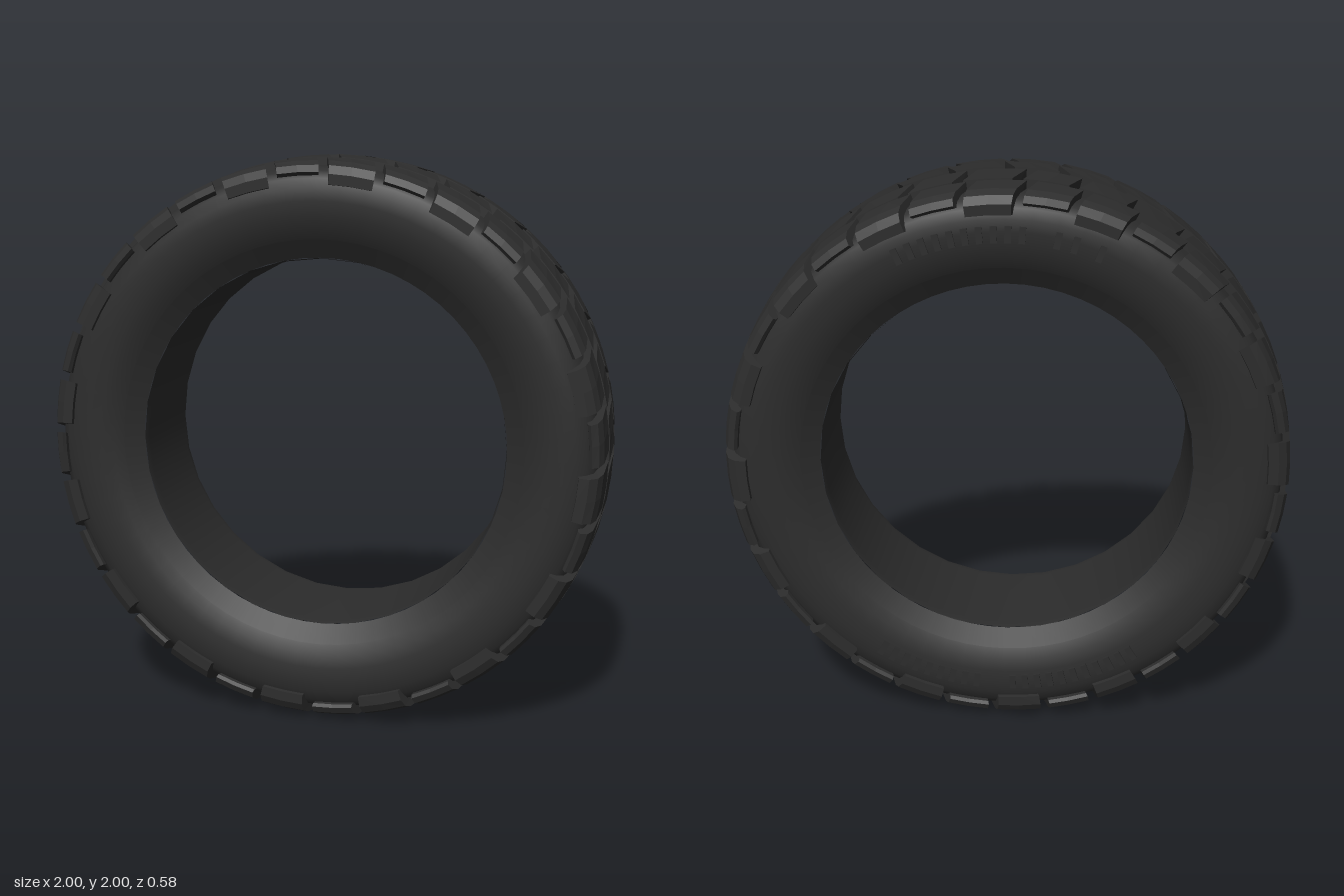
import * as THREE from 'three';
import { mergeGeometries } from 'three/addons/utils/BufferGeometryUtils.js';

const DEG = Math.PI / 180;
const COUNT = 32;              // tread blocks per row
const PITCH = 360 / COUNT;
const SKEW = 0.32;             // chevron lean, radians per unit of |z|

// Sweeps a [z, r] section around the z axis from angle a0 to a1 (degrees), leaning with |z|.
function sweptBlock(section, side, a0, a1, steps = 2) {
  let pts = section.map(([z, r]) => new THREE.Vector2(z * side, r));
  if (side < 0) pts = pts.reverse();
  const at = (p, a) => {
    const t = a * DEG - SKEW * (Math.abs(p.x) - 0.08);
    return [p.y * Math.cos(t), p.y * Math.sin(t), p.x];
  };
  const pos = [];
  for (let s = 0; s < steps; s++) {
    const b0 = a0 + (a1 - a0) * s / steps;
    const b1 = a0 + (a1 - a0) * (s + 1) / steps;
    pts.forEach((p, i) => {
      const q = pts[(i + 1) % pts.length];
      pos.push(...at(p, b0), ...at(q, b0), ...at(q, b1));
      pos.push(...at(p, b0), ...at(q, b1), ...at(p, b1));
    });
  }
  for (const [i, j, k] of THREE.ShapeUtils.triangulateShape(pts, [])) {
    pos.push(...at(pts[i], a1), ...at(pts[j], a1), ...at(pts[k], a1));
    pos.push(...at(pts[i], a0), ...at(pts[k], a0), ...at(pts[j], a0));
  }
  const geo = new THREE.BufferGeometry();
  geo.setAttribute('position', new THREE.Float32BufferAttribute(pos, 3));
  geo.computeVertexNormals();
  return geo;
}

// Revolves [r, z] points around the z axis.
function revolve(points, segments) {
  return new THREE.LatheGeometry(points.map(([r, z]) => new THREE.Vector2(r, z)), segments)
    .rotateX(Math.PI / 2);
}

export function createModel() {
  const model = new THREE.Group();
  model.name = 'tyre';
  const wheel = new THREE.Group();
  wheel.name = 'tyreBody';
  wheel.position.y = 1;
  model.add(wheel);

  const rubber = new THREE.MeshStandardMaterial({ color: 0x2c2c2c });
  rubber.name = 'blackRubber';
  const add = (name, geometry) => {
    const mesh = new THREE.Mesh(geometry, rubber);
    mesh.name = name;
    wheel.add(mesh);
  };

  // Carcass: rounded sidewalls and the groove floor under the tread
  const half = [[0.72, 0.25], [0.755, 0.269], [0.8, 0.28], [0.85, 0.284], [0.89, 0.28],
    [0.925, 0.268], [0.95, 0.248], [0.963, 0.21], [0.966, 0.1]];
  const carcass = [...half.map(([r, z]) => [r, -z]), ...half.slice().reverse()];
  add('carcass', revolve(carcass, 64));

  // Sloping beads and inner liner
  add('frontBead', revolve([[0.72, 0.25], [0.655, 0.21]], 64));
  add('backBead', revolve([[0.655, -0.21], [0.72, -0.25]], 64));
  add('innerLiner', revolve([[0.655, 0.21], [0.65, 0.18], [0.65, -0.18], [0.655, -0.21]], 32));

  // Tread block sections as [z, r]
  const centre = [[0.013, 0.94], [0.142, 0.94], [0.142, 0.994], [0.013, 1]];
  const shoulder = [[0.155, 0.94], [0.23, 0.93], [0.275, 0.935], [0.284, 0.945],
    [0.274, 0.968], [0.245, 0.983], [0.155, 0.992]];
  const lug = [[0.155, 0.94], [0.25, 0.9], [0.289, 0.905], [0.29, 0.94],
    [0.275, 0.968], [0.245, 0.983], [0.155, 0.992]];

  // Two rows on each side, every second shoulder block reaching down the sidewall
  for (const side of [1, -1]) {
    const centreRow = [], shoulderRow = [];
    const shift = side > 0 ? 0 : PITCH * 0.4;
    for (let i = 0; i < COUNT; i++) {
      const a = 86 + shift + i * PITCH;
      const long = i % 2 === 0;
      const w = long ? 4.75 : 4.4;
      centreRow.push(sweptBlock(centre, side, a - 3 - w, a - 3 + w));
      shoulderRow.push(sweptBlock(long ? lug : shoulder, side, a - w, a + w));
    }
    const label = side > 0 ? 'front' : 'back';
    add(label + 'CentreTread', mergeGeometries(centreRow));
    add(label + 'ShoulderTread', mergeGeometries(shoulderRow));
  }

  // Groups of raised ribs on the back sidewall: [first angle, last angle, number]
  const ribs = [];
  for (const [from, to, n] of [[65, 94, 10], [102, 106, 2], [112, 112, 1], [237, 268, 11], [277, 302, 9]]) {
    for (let i = 0; i < n; i++) {
      const a = from + (n > 1 ? (to - from) * i / (n - 1) : 0);
      ribs.push(new THREE.BoxGeometry(0.055, 0.022, 0.02)
        .translate(0.84, 0, -0.28).rotateZ(a * DEG));
    }
  }
  add('sidewallRibs', mergeGeometries(ribs));

  return model;
}
